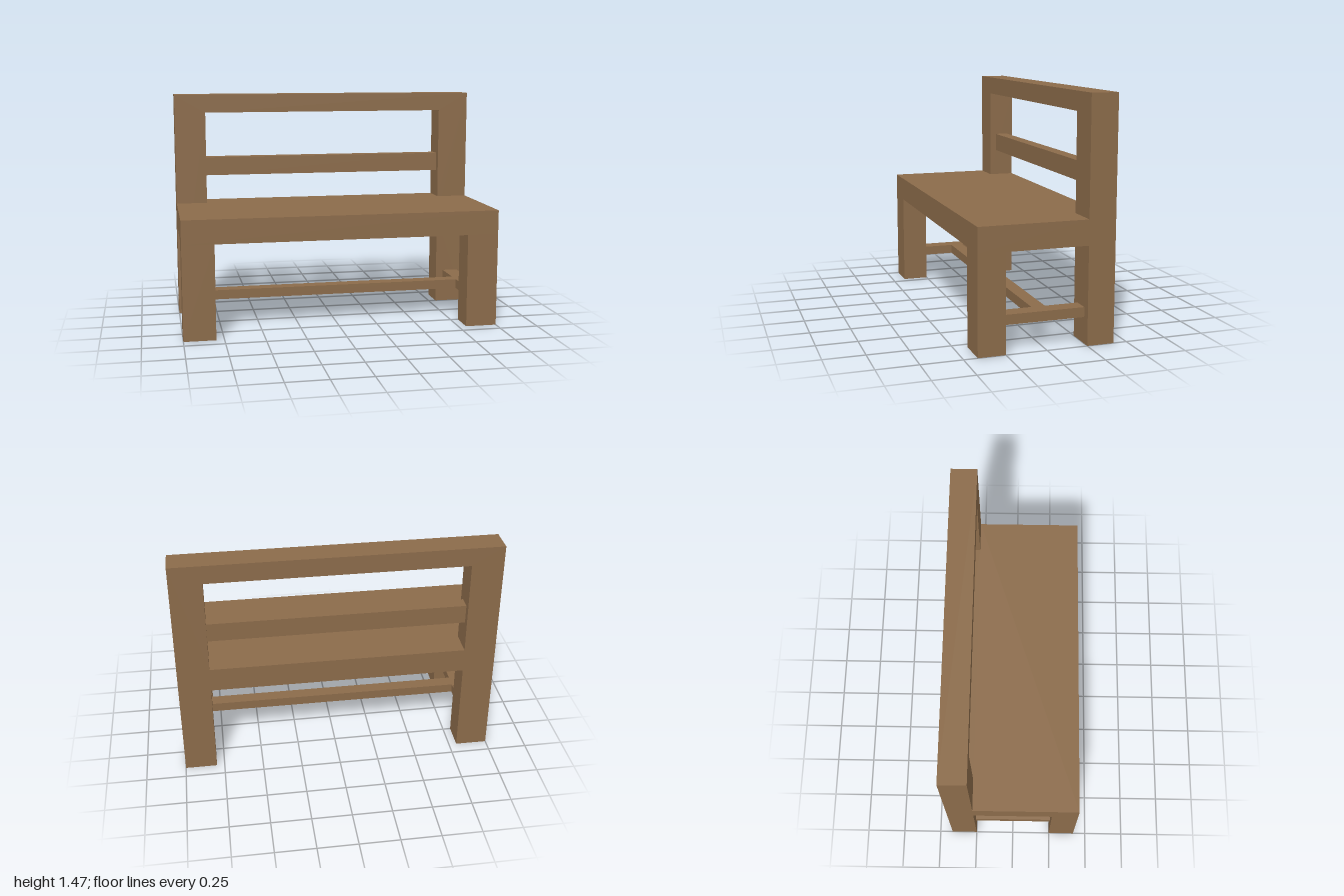
import * as THREE from 'three';

export function createModel() {
  const bench = new THREE.Group();
  bench.name = 'bench';
  const wood = new THREE.MeshStandardMaterial({ color: 0x8b6b4a });
  wood.name = 'brown wood';

  const add = (name, geometry) => {
    const mesh = new THREE.Mesh(geometry, wood);
    mesh.name = name;
    bench.add(mesh);
    return mesh;
  };
  // Box given by its minimum and maximum on each axis
  const beam = (name, [x0, x1], [y0, y1], [z0, z1]) =>
    add(name, new THREE.BoxGeometry(x1 - x0, y1 - y0, z1 - z0))
      .position.set((x0 + x1) / 2, (y0 + y1) / 2, (z0 + z1) / 2);

  const depth = 0.417, inner = 0.25, seatTop = 0.75, seatBottom = 0.597, top = 1.467;

  // Back frame: rear legs, posts, top rail and rear seat edge in one piece
  const outline = [
    [-1, 0], [-0.8, 0], [-0.8, seatBottom], [0.8, seatBottom],
    [0.8, 0], [1, 0], [1, top], [-1, top],
  ];
  const frame = new THREE.Shape(outline.map(([x, y]) => new THREE.Vector2(x, y)));
  const opening = [[-0.8, seatTop], [-0.8, 1.35], [0.8, 1.35], [0.8, seatTop]];
  frame.holes.push(new THREE.Path(opening.map(([x, y]) => new THREE.Vector2(x, y))));
  add('backFrame', new THREE.ExtrudeGeometry(frame, { depth: depth - inner, bevelEnabled: false }))
    .position.z = -depth;

  // Middle back rail and seat slab
  beam('backRail', [-0.8, 0.8], [0.93, 1.05], [-0.375, -0.292]);
  beam('seat', [-1, 1], [seatBottom, seatTop], [-inner, depth]);

  // Front legs and side stretchers
  for (const [side, s] of [['left', 1], ['right', -1]]) {
    const span = (a, b) => (s > 0 ? [a, b] : [-b, -a]);
    beam(side + 'FrontLeg', span(0.8, 1), [0, seatBottom], [inner, depth]);
    beam(side + 'Stretcher', span(0.85, 0.95), [0.16, 0.22], [-inner, inner]);
  }

  // Long stretcher joining the two side stretchers
  beam('longStretcher', [-0.85, 0.85], [0.16, 0.22], [-0.042, 0.042]);

  return bench;
}
